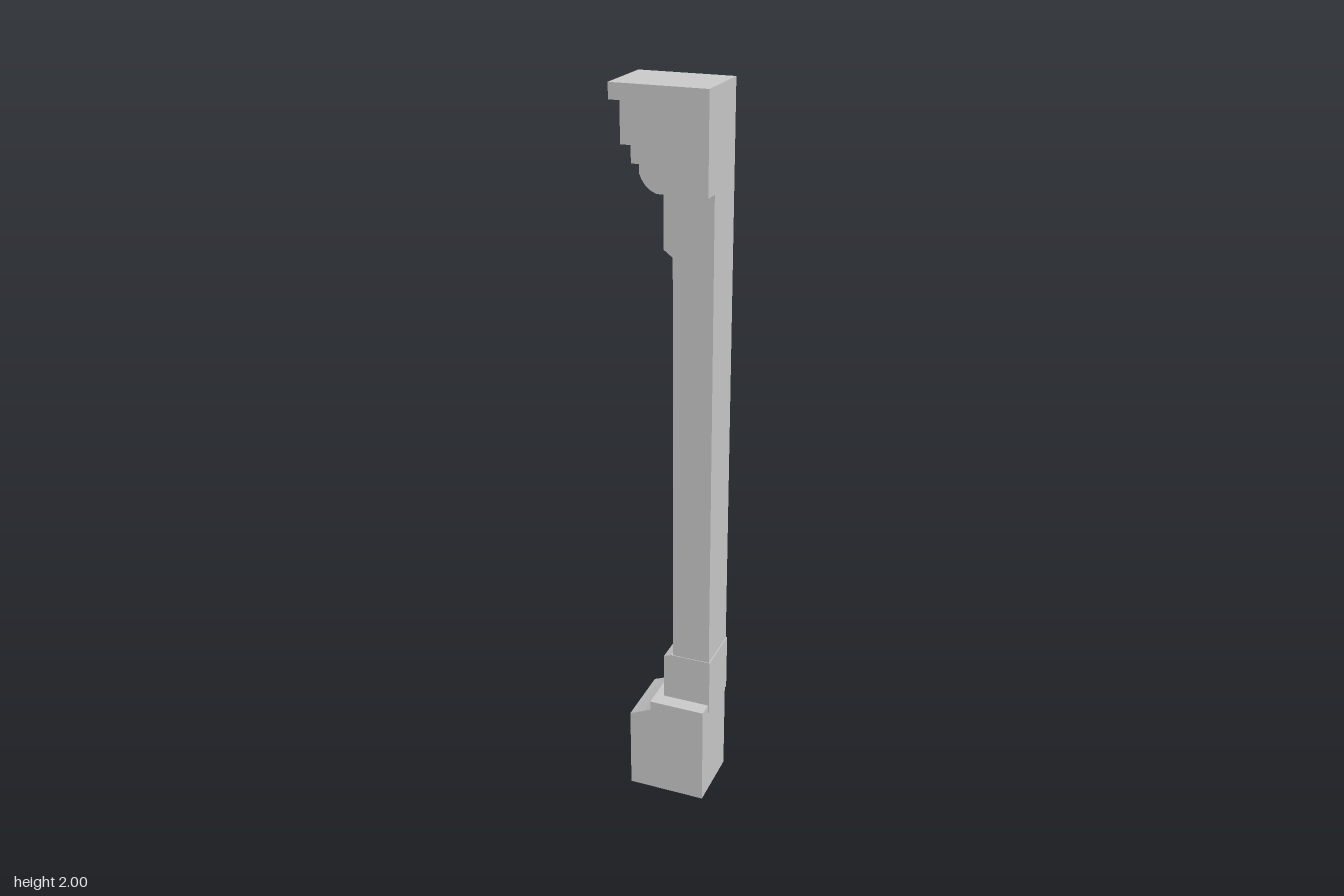
import * as THREE from 'three';

const RIGHT = 0.123; // flat wall side shared by all parts
const BACK = -0.091;

export function createModel() {
  const group = new THREE.Group();
  const material = new THREE.MeshStandardMaterial({ color: 0xcccccc, flatShading: true });

  // Sweeps a left-hand moulding outline (listed bottom to top) through z, closed by a straight right side
  function addProfile(name, points, zBack, zFront, right = RIGHT) {
    const outline = [
      [right, points[0][1]],
      ...points,
      [right, points[points.length - 1][1]],
    ].map(([x, y]) => new THREE.Vector2(x, y));
    const geometry = new THREE.ExtrudeGeometry(new THREE.Shape(outline), {
      depth: zFront - zBack,
      bevelEnabled: false,
    });
    geometry.translate(0, 0, zBack);
    const mesh = new THREE.Mesh(geometry, material);
    mesh.name = name;
    group.add(mesh);
  }

  // Plinth with a sloped shoulder and a small step
  addProfile('base', [
    [-0.097, 0], [-0.097, 0.24], [-0.08, 0.247], [-0.055, 0.258],
    [-0.035, 0.268], [-0.035, 0.295],
  ], BACK, 0.093);

  // Slightly proud collar above the plinth
  addProfile('lowerCollar', [
    [-0.01, 0.27], [-0.01, 0.428], [0.012, 0.436],
  ], -0.094, 0.051, 0.126);

  // Plain shaft
  addProfile('shaft', [[0.016, 0.43], [0.016, 1.6]], BACK, 0.049);

  // Upper collar with a sloped underside
  addProfile('upperCollar', [
    [0.016, 1.582], [-0.008, 1.6], [-0.008, 1.76],
  ], BACK, 0.049);

  // Capital: quarter-round, stepped fillets and a top slab
  addProfile('capital', [
    [-0.008, 1.748], [-0.022, 1.754], [-0.036, 1.765], [-0.046, 1.779], [-0.052, 1.793],
    [-0.052, 1.815], [-0.073, 1.815], [-0.073, 1.858], [-0.1, 1.858],
    [-0.1, 1.96], [-0.129, 1.96], [-0.129, 2],
  ], BACK, 0.093);

  return group;
}
